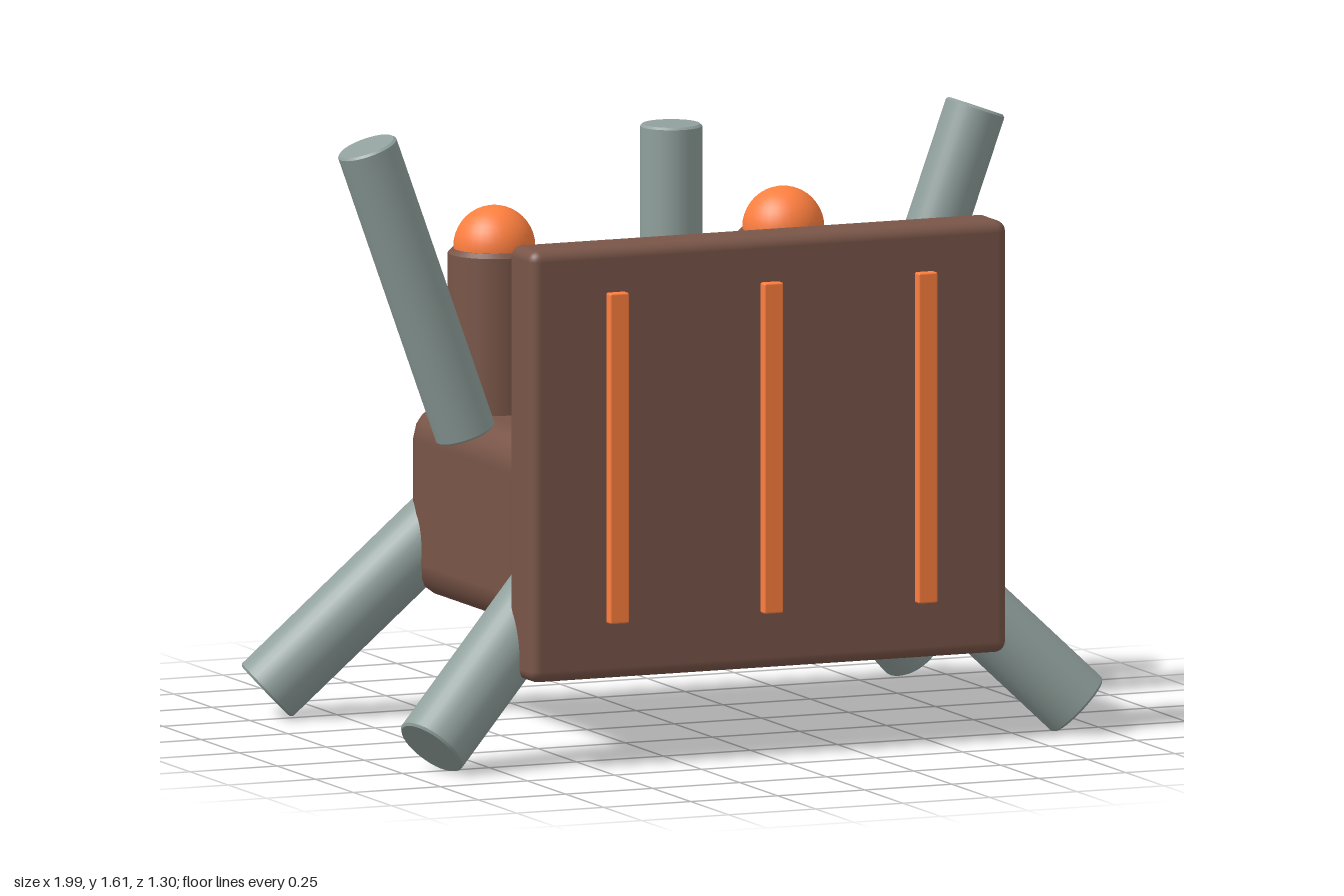
import * as THREE from 'three';
import { RoundedBoxGeometry } from 'three/addons/geometries/RoundedBoxGeometry.js';

const brown = new THREE.MeshStandardMaterial({ color: 0x795548 });
const orange = new THREE.MeshStandardMaterial({ color: 0xff7f3f });
const steel = new THREE.MeshStandardMaterial({ color: 0x90a09c });
const UP = new THREE.Vector3(0, 1, 0);
const MID_Z = -0.015;

export function createModel() {
  const model = new THREE.Group();

  function add(name, geometry, material, x, y, z) {
    const mesh = new THREE.Mesh(geometry, material);
    mesh.name = name;
    mesh.position.set(x, y, z);
    model.add(mesh);
    return mesh;
  }

  // Cylinder with slightly softened rims, running from one point to another
  function rod(name, from, to, r, material, bevel = 0.006) {
    const a = new THREE.Vector3(...from);
    const axis = new THREE.Vector3(...to).sub(a);
    const h = axis.length();
    const rim = r - bevel;
    const sections = [
      [[0, 0], [rim, 0]],
      [[rim, 0], [r, bevel]],
      [[r, bevel], [r, h - bevel]],
      [[r, h - bevel], [rim, h]],
      [[rim, h], [0, h]],
    ];
    const group = new THREE.Group();
    group.name = name;
    // Separate bands keep the rims crisp
    for (const s of sections) {
      const band = new THREE.LatheGeometry(s.map(p => new THREE.Vector2(...p)), 32);
      const mesh = new THREE.Mesh(band, material);
      mesh.name = name + 'Band';
      group.add(mesh);
    }
    group.position.copy(a);
    group.quaternion.setFromUnitVectors(UP, axis.normalize());
    model.add(group);
  }

  // Chamfered main body
  add('body', new RoundedBoxGeometry(1.15, 0.515, 0.915, 2, 0.095), brown, 0, 0.578, -0.018);

  // Front shield with three raised strips
  add('shield', new RoundedBoxGeometry(1.37, 1.15, 0.155, 3, 0.03), brown, 0, 0.815, 0.552);
  for (const x of [-0.443, 0, 0.443]) {
    add('shieldStrip', new RoundedBoxGeometry(0.055, 0.88, 0.035, 2, 0.005), orange, x, 0.83, 0.638);
  }

  // Centre post
  rod('centrePost', [0, 0.78, MID_Z - 0.005], [0, 1.6, MID_Z - 0.005], 0.082, steel);

  for (const s of [-1, 1]) {
    // Domed turrets on the rear of the body
    rod('turret', [s * 0.415, 0.81, -0.233], [s * 0.415, 1.265, -0.233], 0.123, brown, 0.012);
    add('turretDome', new THREE.SphereGeometry(0.108, 32, 20), orange, s * 0.415, 1.27, -0.233);

    // Raised side arms
    rod('arm', [s * 0.59, 0.81, MID_Z - 0.005], [s * 0.875, 1.593, MID_Z - 0.005], 0.081, steel);

    // Small studs between body and shield
    add('stud', new THREE.SphereGeometry(0.045, 20, 14), brown, s * 0.15, 0.5, 0.415);

    // Splayed legs, front and back
    for (const f of [-1, 1]) {
      rod('leg', [s * 0.44, 0.56, MID_Z + f * 0.39], [s * 0.93, 0.07, MID_Z + f * 0.54], 0.097, steel);
    }
  }
  return model;
}
